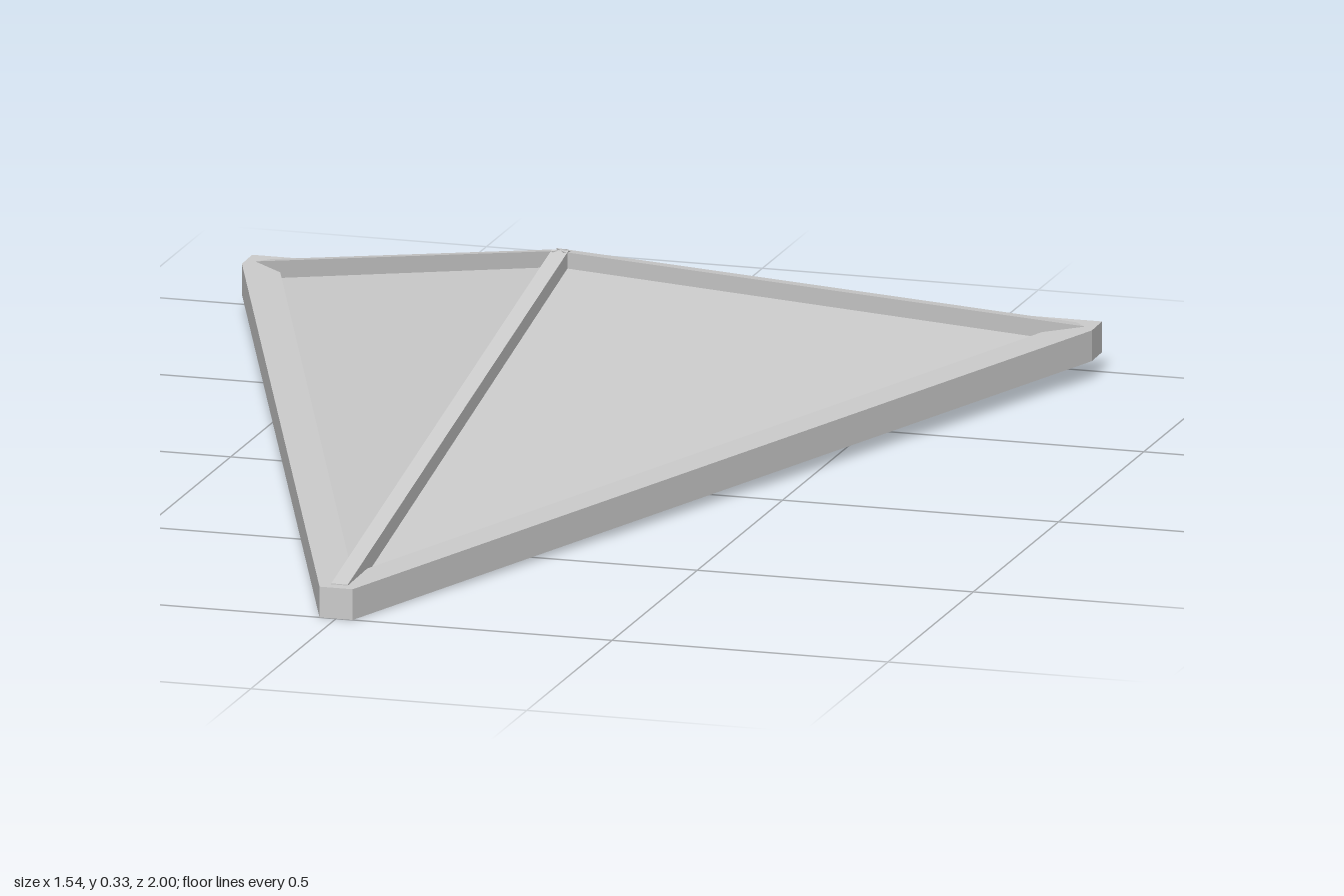
import * as THREE from 'three';

const grey = new THREE.MeshStandardMaterial({ color: 0xcccccc, flatShading: true });
const greyThin = new THREE.MeshStandardMaterial({ color: 0xcccccc, flatShading: true, side: THREE.DoubleSide });

// the whole base plane rises gently towards the back
const rise = z => 0.0175 * (1 - z);

function add(group, name, geometry, material = grey) {
  const mesh = new THREE.Mesh(geometry, material);
  mesh.name = name;
  group.add(mesh);
}

// flat extrusion of a plan outline of [x, z] points, sheared to follow the rise
function slab(outline, hole, height, y0) {
  const toPoints = list => list.map(([x, z]) => new THREE.Vector2(x, -z));
  const shape = new THREE.Shape(toPoints(outline));
  if (hole) shape.holes.push(new THREE.Path(toPoints(hole)));
  const geo = new THREE.ExtrudeGeometry(shape, { depth: height, bevelEnabled: false });
  geo.rotateX(-Math.PI / 2);
  const p = geo.attributes.position;
  for (let i = 0; i < p.count; i++) p.setY(i, p.getY(i) + y0 + rise(p.getZ(i)));
  geo.computeVertexNormals();
  return geo;
}

// bar with vertical ends whose top centre line runs from a to b
function bar(a, b, width, height) {
  const A = new THREE.Vector3(...a), B = new THREE.Vector3(...b);
  const side = new THREE.Vector3(0, 1, 0).cross(B.clone().sub(A)).normalize();
  const geo = new THREE.BoxGeometry(1, 1, 1);
  const p = geo.attributes.position, v = new THREE.Vector3();
  for (let i = 0; i < p.count; i++) {
    v.lerpVectors(A, B, p.getZ(i) + 0.5).addScaledVector(side, p.getX(i) * width);
    v.y += (p.getY(i) - 0.5) * height;
    p.setXYZ(i, v.x, v.y, v.z);
  }
  geo.computeVertexNormals();
  return geo;
}

function triangle(...corners) {
  const geo = new THREE.BufferGeometry().setFromPoints(corners.map(c => new THREE.Vector3(...c)));
  geo.computeVertexNormals();
  return geo;
}

export function createModel() {
  const model = new THREE.Group();
  model.name = 'framedPyramid';

  // base frame with a triangular opening
  const outer = [[-0.03, 1], [0.03, 1], [0.77, -0.94], [0.77, -1], [-0.77, -1], [-0.77, -0.94]];
  const inner = [[0, 0.905], [0.705, -0.945], [-0.705, -0.945]];
  add(model, 'baseFrame', slab(outer, inner, 0.055, 0));

  // closing panel just inside the underside
  add(model, 'bottomPanel', slab(inner, null, 0.008, 0.01));

  // sloping panels, meeting the frame a little below its top
  const apex = [0, 0.31, -0.32];
  const [tip, left, right] = inner.map(([x, z]) => [x, 0.045 + rise(z), z]);
  add(model, 'leftPanel', triangle(tip, left, apex), greyThin);
  add(model, 'rightPanel', triangle(right, tip, apex), greyThin);
  add(model, 'backPanel', triangle(left, right, apex), greyThin);

  // ribs along the ridges and down the middle of the back
  const peak = [0, 0.33, -0.315];
  add(model, 'frontRib', bar([0, 0.057, 0.98], peak, 0.03, 0.04));
  add(model, 'backRib', bar(peak, [0, 0.095, -1], 0.03, 0.045));
  for (const s of [1, -1]) {
    add(model, s > 0 ? 'leftRib' : 'rightRib', bar(peak, [s * 0.74, 0.09, -0.97], 0.03, 0.04));
  }
  return model;
}
